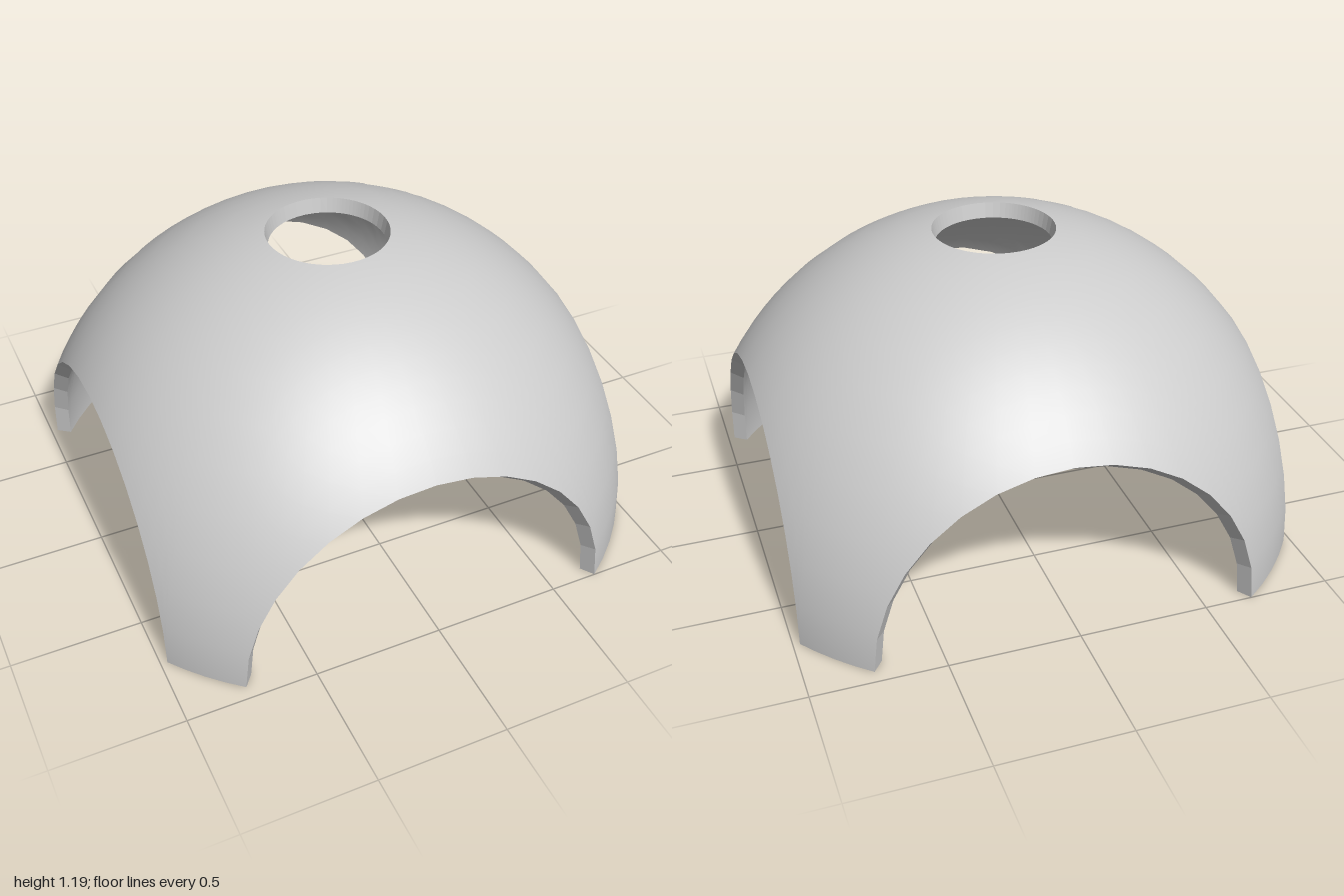
import * as THREE from 'three';

const OUTER = 1.213, INNER = 1.152, ARCH = 0.722;
const HOLE = Math.PI / 16; // polar angle of the top opening
const ARCH_STEPS = 16, FOOT_STEPS = 4, ROWS = 10;
const rad = THREE.MathUtils.degToRad;

// Point on a sphere: azimuth is measured from the front towards +x
function onSphere(radius, polar, azimuth) {
  return new THREE.Vector3(
    radius * Math.sin(polar) * Math.sin(azimuth),
    radius * Math.cos(polar),
    radius * Math.sin(polar) * Math.cos(azimuth));
}

// Surface through rows of points; rows run downwards, points run rightwards
function grid(rows) {
  const n = rows[0].length, index = [];
  for (let j = 0; j < rows.length - 1; j++) {
    for (let i = 0; i < n - 1; i++) {
      const a = j * n + i, b = a + 1, c = a + n, d = c + 1;
      index.push(a, c, d, a, d, b);
    }
  }
  const geometry = new THREE.BufferGeometry().setFromPoints(rows.flat());
  geometry.setIndex(index);
  return geometry;
}

// Smooth spherical skin, facing outwards (1) or inwards (-1)
function skin(rows, facing) {
  const geometry = grid(rows);
  const normals = rows.flat().flatMap((p) => p.clone().normalize().multiplyScalar(facing).toArray());
  geometry.setAttribute('normal', new THREE.Float32BufferAttribute(normals, 3));
  return geometry;
}

// Sharp-edged rim between two lines of points
function rim(first, second) {
  const geometry = grid([first, second]).toNonIndexed();
  geometry.computeVertexNormals();
  return geometry;
}

export function createModel() {
  const model = new THREE.Group();
  model.name = 'archedDome';
  const grey = new THREE.MeshStandardMaterial({ color: 0xcccccc });
  grey.name = 'grey';
  const add = (name, geometry) => {
    const mesh = new THREE.Mesh(geometry, grey);
    mesh.name = name;
    model.add(mesh);
  };

  // Lower edge of the dome: four round arches with a foot after each;
  // the front and back arches are turned slightly
  const depth = Math.sqrt(OUTER * OUTER - ARCH * ARCH);
  const half = Math.atan2(ARCH, depth);
  const centres = [-2, 90, 178, 270, 358].map(rad);
  const edge = [], spans = [];
  ['front', 'left', 'back', 'right'].forEach((side, k) => {
    const start = edge.length;
    for (let i = 0; i <= ARCH_STEPS; i++) {
      const t = Math.PI * i / ARCH_STEPS;
      edge.push({
        azimuth: centres[k] + Math.atan2(-ARCH * Math.cos(t), depth),
        polar: Math.acos(ARCH * Math.sin(t) / OUTER),
      });
    }
    const from = centres[k] + half, to = centres[k + 1] - half;
    for (let i = 1; i < FOOT_STEPS; i++) {
      edge.push({ azimuth: from + (to - from) * i / FOOT_STEPS, polar: Math.PI / 2 });
    }
    spans.push({ name: side + 'ArchRim', start, end: start + ARCH_STEPS });
    spans.push({ name: side + 'FootSole', start: start + ARCH_STEPS, end: start + ARCH_STEPS + FOOT_STEPS });
  });
  edge.push({ azimuth: edge[0].azimuth + 2 * Math.PI, polar: edge[0].polar });

  // Rows from the top opening down to the lower edge
  const shellRows = (radius) => Array.from({ length: ROWS + 1 }, (_, j) =>
    edge.map((e) => onSphere(radius, HOLE + (e.polar - HOLE) * j / ROWS, e.azimuth)));
  const outer = shellRows(OUTER), inner = shellRows(INNER);

  // Dome skins
  add('outerShell', skin(outer, 1));
  add('innerShell', skin([...inner].reverse(), -1));

  // Wall thickness around the top opening, the arches and the feet
  add('topOpeningRim', rim(inner[0], outer[0]));
  for (const { name, start, end } of spans) {
    add(name, rim(outer[ROWS].slice(start, end + 1), inner[ROWS].slice(start, end + 1)));
  }
  return model;
}
